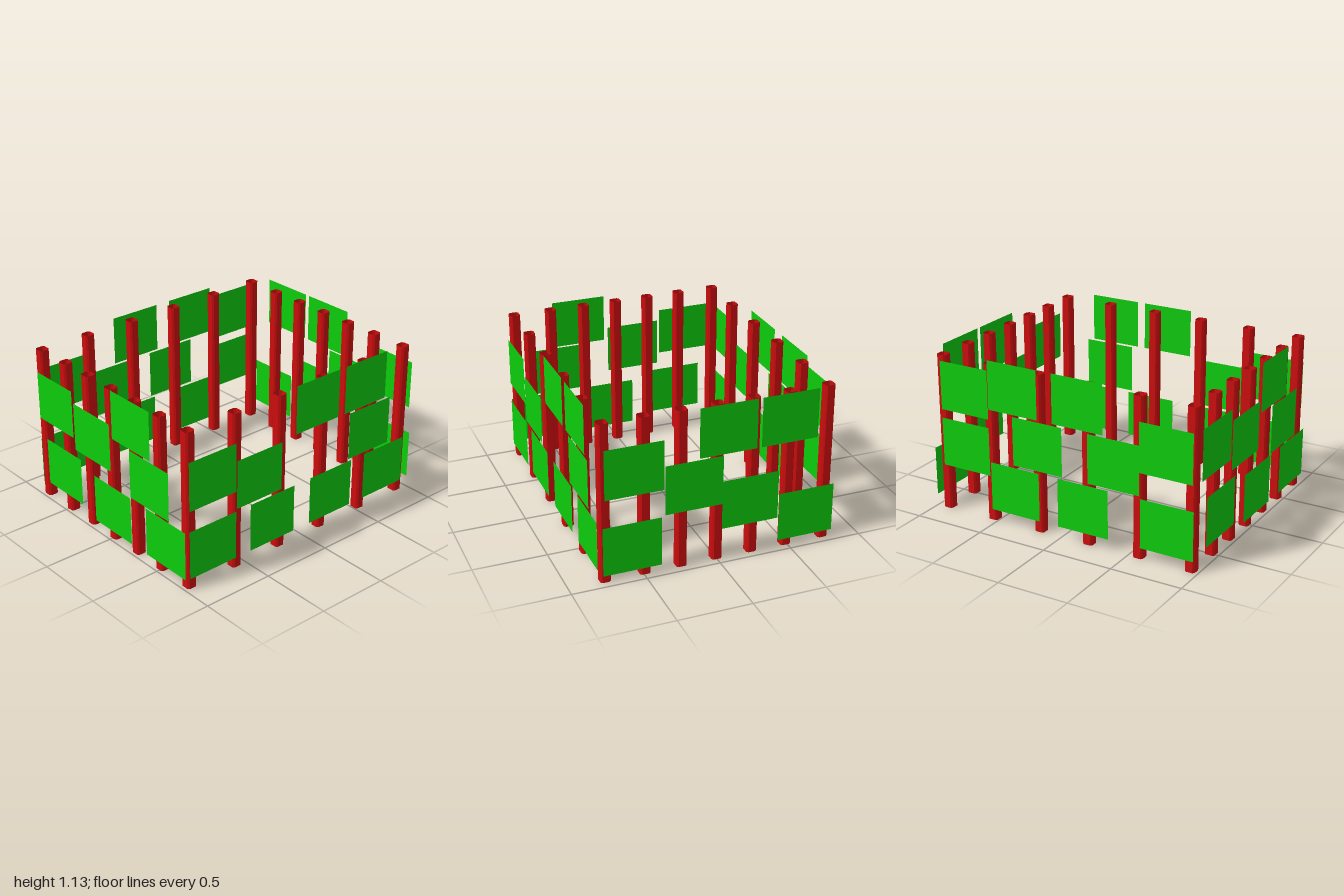
import * as THREE from 'three';

const POST_HEIGHT = 1.1, POST_HALF = 0.035, POST_FLAT = 0.023;
const PANEL_HEIGHT = 0.34, FRONT_WIDTH = 0.388, SIDE_WIDTH = 0.376;
const FACE_Z = 1, FACE_X = 0.8;

// Open-ended square tube with chamfered corners
function postGeometry() {
  const g = new THREE.CylinderGeometry(1, 1, POST_HEIGHT, 8, 1, true, Math.PI / 8).toNonIndexed();
  const p = g.attributes.position;
  const snap = v => Math.sign(v) * (Math.abs(v) > 0.6 ? POST_HALF : POST_FLAT);
  for (let i = 0; i < p.count; i++) {
    p.setXYZ(i, snap(p.getX(i)), p.getY(i) + POST_HEIGHT / 2, snap(p.getZ(i)));
  }
  g.computeVertexNormals();
  return g;
}

export function createModel() {
  const model = new THREE.Group();
  const red = new THREE.MeshStandardMaterial({ color: 0xcc0d0d, side: THREE.DoubleSide, flatShading: true });
  const green = new THREE.MeshStandardMaterial({ color: 0x0dcc0d, side: THREE.DoubleSide });

  // Posts around the rectangle
  const xs = [-0.76, -0.49, -0.245, 0, 0.243, 0.49, 0.755];
  const zs = [0.943, 0.573, 0.2, -0.171, -0.543, -0.915];
  const postGeo = postGeometry();
  xs.forEach((x, i) => zs.forEach((z, j) => {
    const onEdge = i === 0 || i === xs.length - 1 || j === 0 || j === zs.length - 1;
    if (!onEdge) return;
    const post = new THREE.Mesh(postGeo, red);
    post.name = 'post';
    post.position.set(x, 0, z);
    model.add(post);
  }));

  // Thin panels per wall: [start along the wall, bottom height]
  const walls = [
    { name: 'frontPanel', at: FACE_Z, alongX: true, turn: 0, list: [
      [-0.75, 0.61], [-0.346, 0.53], [0.246, 0.43], [0.07, 0.78],
      [-0.68, 0.135], [-0.146, 0.08], [0.402, 0.08]] },
    { name: 'backPanel', at: -FACE_Z, alongX: true, turn: Math.PI, list: [
      [0.385, 0.61], [-0.01, 0.43], [-0.236, 0.78], [-0.655, 0.78],
      [0.402, 0.08], [-0.394, 0.25], [-0.79, 0.08]] },
    { name: 'leftPanel', at: FACE_X, alongX: false, turn: Math.PI / 2, list: [
      [0.595, 0.563], [0.212, 0.437], [-0.282, 0.79], [-0.715, 0.79], [-0.766, 0.437],
      [0.595, 0.08], [0.098, 0.08], [-0.42, 0.08], [-0.921, 0.08]] },
    { name: 'rightPanel', at: -FACE_X, alongX: false, turn: -Math.PI / 2, list: [
      [-0.92, 0.72], [-0.54, 0.79], [-0.05, 0.79], [0.585, 0.595], [-0.355, 0.437],
      [0.212, 0.437], [-0.92, 0.32], [-0.535, 0.08], [-0.015, 0.08], [0.595, 0.08]] },
  ];
  for (const { name, at, alongX, turn, list } of walls) {
    const width = alongX ? FRONT_WIDTH : SIDE_WIDTH;
    const geo = new THREE.PlaneGeometry(width, PANEL_HEIGHT);
    for (const [start, bottom] of list) {
      const panel = new THREE.Mesh(geo, green);
      const mid = start + width / 2, y = bottom + PANEL_HEIGHT / 2;
      panel.name = name;
      panel.rotation.y = turn;
      panel.position.set(alongX ? mid : at, y, alongX ? at : mid);
      model.add(panel);
    }
  }
  return model;
}
